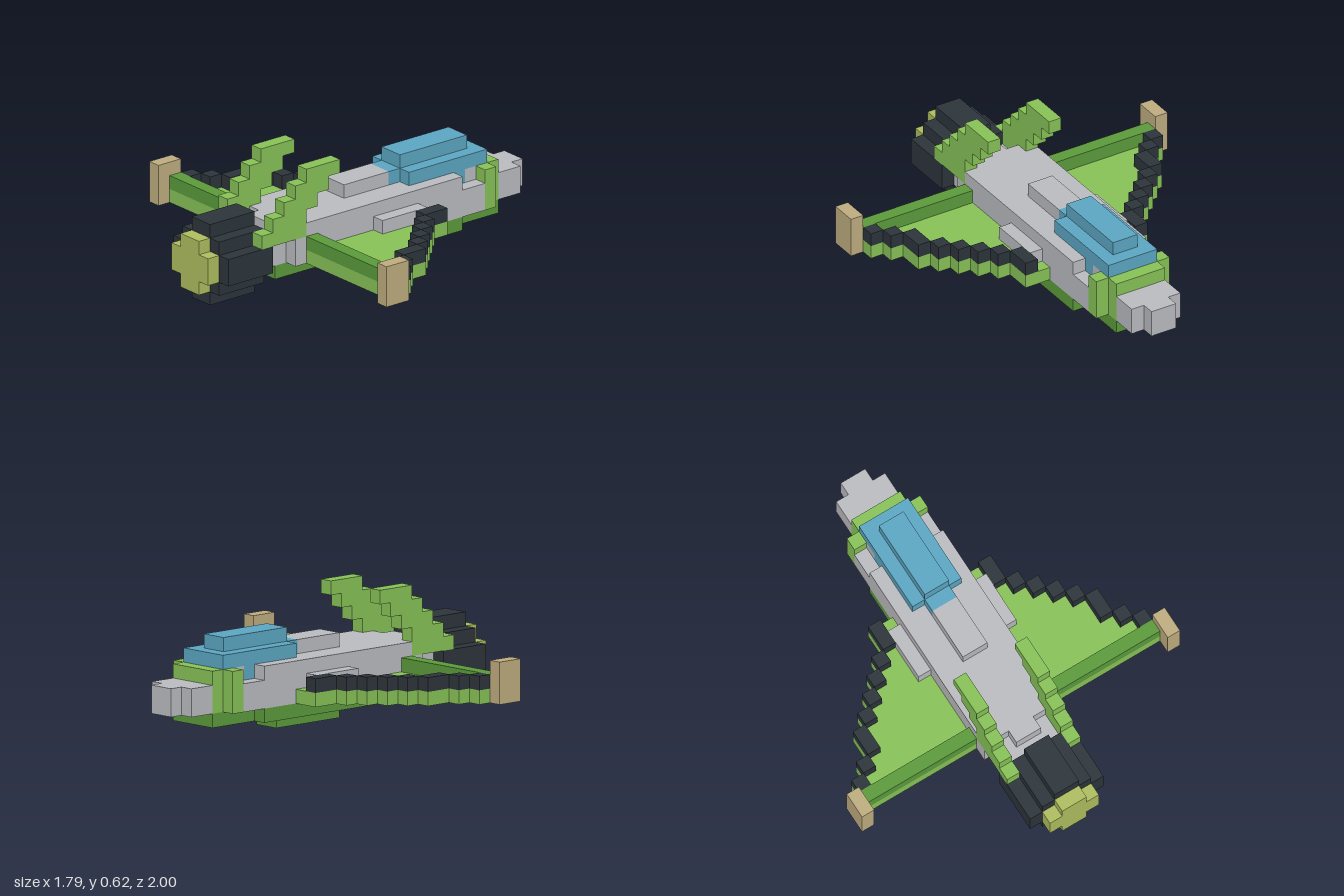
import * as THREE from 'three';

const U = 2 / 29; // one block

const mat = (name, color) => {
  const m = new THREE.MeshStandardMaterial({ color });
  m.name = name;
  return m;
};

export function createModel() {
  const green = mat('light green', 0x88c458);
  const darkGreen = mat('dark green', 0x5c9c3c);
  const grey = mat('grey', 0xbcbdc1);
  const black = mat('charcoal', 0x2d353b);
  const blue = mat('glass blue', 0x5ca8c4);
  const olive = mat('exhaust yellow', 0xb0c060);
  const tan = mat('tan', 0xc0ae80);

  const model = new THREE.Group();
  model.name = 'jet';

  // Box in block units: x from centre, y from ground, z counted from the nose tip
  const box = (name, material, x0, x1, y0, y1, z0, z1) => {
    const mesh = new THREE.Mesh(
      new THREE.BoxGeometry((x1 - x0) * U, (y1 - y0) * U, (z1 - z0) * U), material);
    mesh.position.set((x0 + x1) / 2 * U, (y0 + y1) / 2 * U, ((z0 + z1) / 2 - 14.5) * U);
    mesh.name = name;
    model.add(mesh);
  };
  // Centred box of half width w
  const mid = (name, material, w, ...r) => box(name, material, -w, w, ...r);
  // Mirrored pair of boxes
  const pair = (name, material, x0, x1, ...r) => {
    box(name + 'Left', material, x0, x1, ...r);
    box(name + 'Right', material, -x1, -x0, ...r);
  };

  // Nose and collar
  mid('noseTip', grey, 1, 2, 4, 0, 1);
  mid('nose', grey, 2, 2, 4, 1, 3);
  mid('collarFront', green, 2, 2, 5, 3, 4);
  pair('collarSide', green, 2, 3, 2, 5, 4, 5);

  // Fuselage
  mid('cockpitFloor', grey, 2, 2, 5, 4, 6);
  pair('cockpitSill', grey, 2, 3, 2, 4, 5, 7);
  mid('cockpitBase', grey, 2, 2, 4, 6, 7);
  mid('fuselage', grey, 3, 2, 4, 7, 22);
  mid('upperFuselage', grey, 3, 4, 5, 7, 21);
  mid('upperTail', grey, 2, 4, 5, 21, 22);
  mid('upperTailEnd', grey, 1, 4, 5, 22, 23);
  mid('tail', grey, 2, 2, 4, 22, 24);
  mid('spine', grey, 1, 5, 6, 12, 16);
  pair('intake', grey, 3, 4, 3, 4, 11, 15);

  // Canopy
  mid('canopyWindow', blue, 2, 4, 5, 6, 7);
  mid('canopy', blue, 2, 5, 6, 4, 11);
  mid('canopyBack', blue, 1, 5, 6, 11, 12);
  mid('canopyTop', blue, 1, 6, 7, 5, 11);

  // Belly
  mid('bellyFront', darkGreen, 2, 1, 2, 3, 7);
  mid('belly', darkGreen, 3, 1, 2, 7, 19);
  mid('bellyBack', darkGreen, 2, 1, 2, 19, 23);
  mid('keel', darkGreen, 1, 0, 1, 10, 16);

  // Wings: one strip per column, with a dark leading edge on top
  const edge = [10, 12, 13, 14, 15, 16, 18, 19, 20];
  pair('wingRoot', green, 3, 4, 2, 3, 10, 21);
  for (let i = 0; i < 8; i++) {
    pair('wing', green, 4 + i, 5 + i, 2, 3, edge[i], 21);
    pair('leadingEdge', black, 4 + i, 5 + i, 3, 4, edge[i], edge[i + 1]);
  }
  pair('flap', darkGreen, 3, 12, 3, 4, 20, 21);
  pair('wingTip', tan, 12, 13, 2, 5, 20, 22);

  // Stepped tail fins
  pair('finBase', green, 2, 3, 4, 5, 21, 25);
  for (let i = 0; i < 4; i++) pair('fin', green, 2, 3, 5 + i, 6 + i, 21 - i, 24 - i);

  // Engine
  mid('engineCore', black, 1, 0, 6, 24, 28);
  pair('engineShoulder', black, 1, 2, 1, 5, 24, 28);
  pair('engineSide', black, 2, 3, 2, 4, 24, 28);
  mid('exhaust', olive, 1, 1, 5, 28, 29);
  pair('exhaustSide', olive, 1, 2, 2, 4, 28, 29);

  return model;
}
